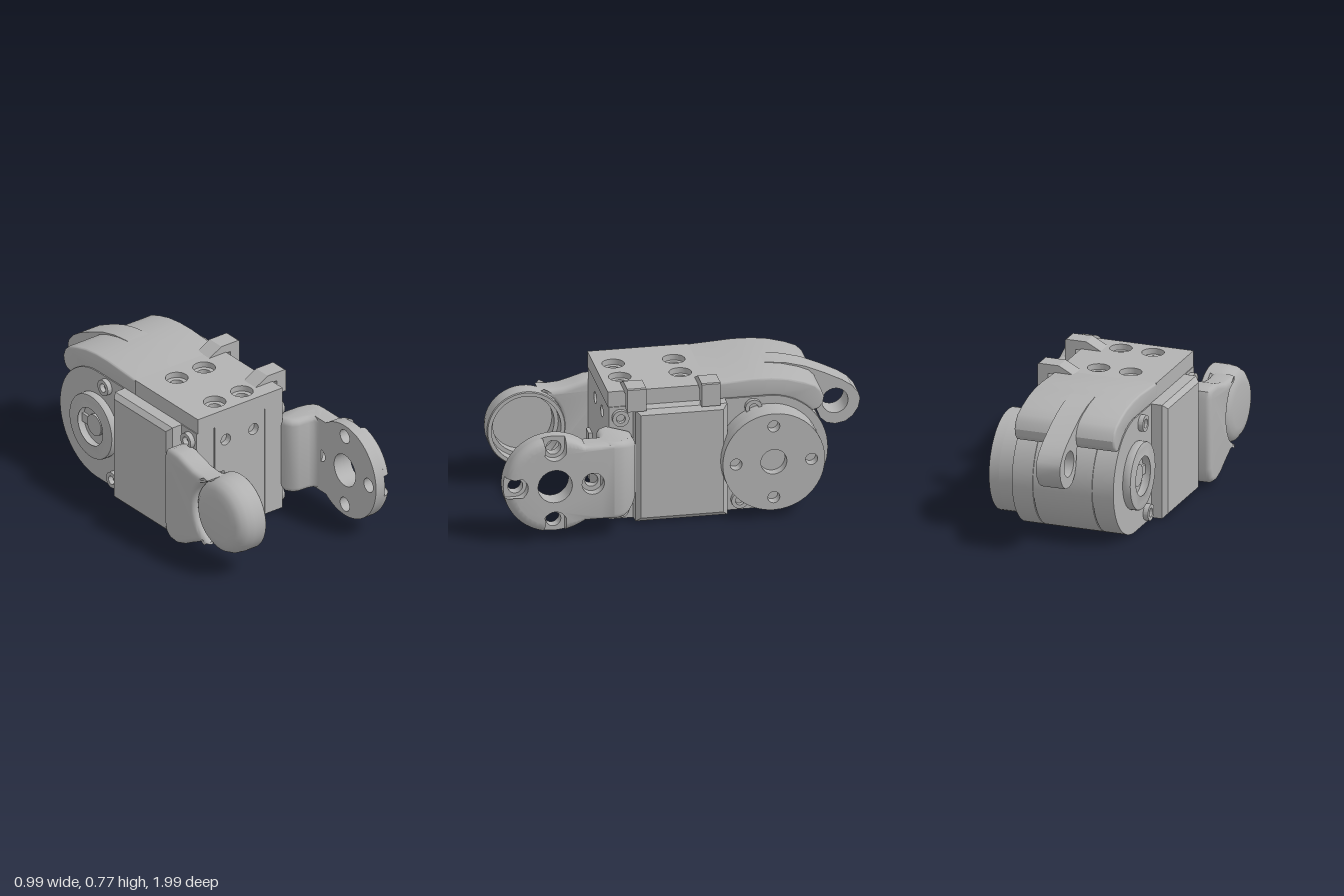
import * as THREE from 'three';
import { toCreasedNormals } from 'three/addons/utils/BufferGeometryUtils.js';

const grey = new THREE.MeshStandardMaterial({ color: 0xb2b2b2, side: THREE.DoubleSide });
grey.name = 'grey plastic';

const CX = -0.078;            // middle of the body
const HUB = [-0.464, 0.325];  // rear axle (z, y)
const ARM = [0.735, 0.327];   // front axle (z, y)

function poly(points, holes = []) {
  const shape = new THREE.Shape(points.map(([a, b]) => new THREE.Vector2(a, b)));
  for (const [a, b, r] of holes) shape.holes.push(new THREE.Path().absarc(a, b, r, 0, Math.PI * 2, true));
  return shape;
}
const arc = (a, b, r, from, to, n = 32) => Array.from({ length: n + 1 }, (_, i) => {
  const t = from + (to - from) * i / n;
  return [a + r * Math.cos(t), b + r * Math.sin(t)];
});
const circle = (a, b, r) => arc(a, b, r, 0, Math.PI * 2, 48).slice(0, -1);
const rect = (a0, b0, a1, b1) => [[a0, b0], [a1, b0], [a1, b1], [a0, b1]];

// Extrusion with an optional bevel that stays inside the outline
function extrude(shape, depth, bevel = 0, segments = 4, steps = 1) {
  const g = new THREE.ExtrudeGeometry(shape, {
    depth: depth - 2 * bevel, steps, curveSegments: 24, bevelEnabled: bevel > 0,
    bevelThickness: bevel, bevelSize: bevel, bevelOffset: -bevel, bevelSegments: segments,
  });
  return g.translate(0, 0, bevel);
}
// Outline in (z, y), extruded along x
function alongX(points, holes, x0, x1, bevel, segments, steps) {
  const shape = poly(points.map(([z, y]) => [-z, y]), holes.map(([z, y, r]) => [-z, y, r]));
  return extrude(shape, x1 - x0, bevel, segments, steps).rotateY(Math.PI / 2).translate(x0, 0, 0);
}
// Outline in (x, z), extruded along y
function alongY(points, holes, y0, y1, bevel) {
  const shape = poly(points.map(([x, z]) => [x, -z]), holes.map(([x, z, r]) => [x, -z, r]));
  return extrude(shape, y1 - y0, bevel).rotateX(-Math.PI / 2).translate(0, y0, 0);
}
const alongZ = (points, holes, z0, z1) => extrude(poly(points, holes), z1 - z0).translate(0, 0, z0);

// Move every vertex by a rule
function bend(g, rule) {
  const p = g.attributes.position, v = new THREE.Vector3();
  for (let i = 0; i < p.count; i++) {
    rule(v.fromBufferAttribute(p, i));
    p.setXYZ(i, v.x, v.y, v.z);
  }
  return g;
}

export function createModel() {
  const model = new THREE.Group();
  model.name = 'servoBracket';
  const add = (name, g, crease = 0.55) => {
    const mesh = new THREE.Mesh(toCreasedNormals(g, crease), grey);
    mesh.name = name;
    model.add(mesh);
  };

  // Body: three slabs with narrow seams and a round back
  const back = (r) => arc(HUB[0], HUB[1], r, Math.PI * 1.5, Math.PI * 0.5);
  const slabs = [[-0.365, -0.248], [-0.243, 0.088], [0.093, 0.21]];
  slabs.forEach(([x0, x1], i) => {
    const mid = i === 1;
    const front = mid ? [[0.36, 0.645], [0.36, 0.035], [-0.4, 0.035], [-0.4, 0.005]] : [[0.36, 0.645], [0.36, 0.005]];
    add('bodySlab', alongX([...front, ...back(0.319)], [], x0, x1));
    const screws = mid ? [-0.17, 0.015].flatMap((x) => [[x, 0.545, 0.032], [x, 0.105, 0.032]]) : [];
    add('frontPlate', alongZ(rect(x0, 0.005, x1, 0.645), screws, 0.36, 0.395));
    if (mid) add('bottomPlate', alongY(rect(x0, -0.4, x1, 0.36), [[0.015, 0.3, 0.028], [0.015, -0.03, 0.028]], 0.005, 0.035));
  });
  add('bodyCore', alongX([[0.35, 0.63], [0.35, 0.04], ...back(0.313)], [], -0.36, 0.205));

  // Chamfered side panels and the screw bosses around them, mirrored
  for (const s of [-1, 1]) {
    const span = (a, b) => [CX + s * a, CX + s * b].sort((p, q) => p - q);
    add('sidePanel', alongX(rect(-0.23, 0.008, 0.265, 0.645), [], ...span(0.24, 0.373), 0.025, 1), 0.3);
    for (const [z, y] of [[0.335, 0.585], [0.335, 0.065], [-0.38, 0.59], [-0.305, 0.065]]) {
      add('screwBoss', alongX(circle(z, y, 0.045), [[z, y, 0.024]], ...span(0.28, 0.315)));
    }
  }

  // Top plate with counterbored holes
  const topHoles = (r) => [-0.17, 0.012].flatMap((x) => [[x, -0.028, r], [x, 0.298, r]]);
  add('topPlateLower', alongY(rect(-0.36, -0.14, 0.205, 0.4), topHoles(0.035), 0.645, 0.7));
  add('topPlateUpper', alongY(rect(-0.36, -0.14, 0.205, 0.4), topHoles(0.06), 0.7, 0.732));

  // Curved rear cover
  add('rearCover', alongX([
    [-0.14, 0.64], [-0.14, 0.732], [-0.25, 0.738], [-0.38, 0.745], [-0.48, 0.742], [-0.57, 0.73], [-0.66, 0.705],
    [-0.72, 0.68], [-0.75, 0.65], [-0.765, 0.61], [-0.757, 0.57], [-0.735, 0.545], [-0.7, 0.535],
    ...arc(HUB[0], HUB[1], 0.316, Math.PI * 0.76, Math.PI * 0.5, 8),
  ], [], -0.362, 0.205, 0.012));

  // Rear eyelet
  add('rearEyelet', alongX([
    [-0.4, 0.74], [-0.5, 0.742], [-0.6, 0.73], [-0.7, 0.703], [-0.8, 0.66], [-0.9, 0.61],
    [-0.955, 0.572], [-0.99, 0.53], [-1.0, 0.495], [-0.99, 0.445], [-0.96, 0.4], [-0.92, 0.37], [-0.865, 0.36],
    [-0.82, 0.37], [-0.785, 0.4], [-0.765, 0.45], [-0.75, 0.54], [-0.7, 0.6], [-0.6, 0.66], [-0.4, 0.68],
  ], [[-0.865, 0.492, 0.07]], CX - 0.068, CX + 0.068));

  // Cable clips on the top edge
  for (const z of [0.21, -0.19]) {
    add('cableClip', alongZ([[0.09, 0.73], [0.235, 0.725], [0.24, 0.645], [0.295, 0.645], [0.295, 0.77],
      [0.288, 0.775], [0.175, 0.775]], [], z, z + 0.102), 0.3);
  }

  // Rear output disc on the left side
  const [hz, hy] = HUB;
  const ring = [0, 1, 2, 3].map((i) => [hz + 0.203 * Math.cos(i * Math.PI / 2), hy + 0.203 * Math.sin(i * Math.PI / 2), 0.032]);
  add('outputDiscBack', alongX(circle(hz, hy, 0.275), [[hz, hy, 0.035]], 0.212, 0.3));
  add('outputDiscFace', alongX(circle(hz, hy, 0.275), [...ring, [hz, hy, 0.07]], 0.3, 0.357));

  // Idler ring on the right side
  add('idlerRing', alongX(circle(hz, hy, 0.185), [[hz, hy, 0.115]], -0.41, -0.36, 0.008, 2));
  add('idlerBoss', alongX(circle(hz, hy, 0.06), [[hz, hy, 0.03]], -0.385, -0.36));
  add('idlerKey', new THREE.BoxGeometry(0.02, 0.05, 0.22).translate(-0.37, hy, hz));

  // Left arm: round plate with a neck, notched at the rim on its outer face
  const [az, ay] = ARM;
  const neck = [[az - 0.32, ay + 0.215], [az - 0.25, ay + 0.215], [az - 0.2, ay + 0.215]];
  const neckLow = neck.map(([z, y]) => [z, 2 * ay - y]).reverse();
  const start = 2.22;
  const plate = [...neck, ...arc(az, ay, 0.27, start, -start, 64), ...neckLow];
  const notch = (t) => {
    // U shaped notch open to the rim at angle t
    const cz = az + 0.205 * Math.cos(t), cy = ay + 0.205 * Math.sin(t);
    return arc(cz, cy, 0.06, t + Math.PI / 2, t + Math.PI * 1.5, 12);
  };
  const gap = 0.225, Q = Math.PI / 2;
  const notched = [...neck,
    ...arc(az, ay, 0.27, start, Q + gap, 10), ...notch(Q),
    ...arc(az, ay, 0.27, Q - gap, gap, 16), ...notch(0),
    ...arc(az, ay, 0.27, -gap, gap - Q, 16), ...notch(-Q),
    ...arc(az, ay, 0.27, -Q - gap, -start, 10), ...neckLow];
  const bores = [[0.205, 0], [0, 0.205], [0, -0.205]].map(([z, y]) => [az + z, ay + y, 0.04]);
  const centre = [az, ay, 0.092];
  add('leftArmPlate', alongX(plate, [centre, ...bores, [az - 0.205, ay, 0.035]], 0.361, 0.42));
  const roundRim = (v) => {
    const t = Math.min(1, Math.max(0, (v.x - 0.42) / 0.051));
    const sz = Math.min(az, Math.max(az - 0.32, v.z));
    const d = Math.hypot(v.z - sz, v.y - ay);
    if (d < 0.17) return;
    const k = (0.17 + (d - 0.17) * (1 - 0.5 * (1 - Math.sqrt(1 - t * t)))) / d;
    v.z = sz + (v.z - sz) * k;
    v.y = ay + (v.y - ay) * k;
  };
  add('leftArmFace', bend(alongX(notched, [centre, [az - 0.205, ay, 0.06]], 0.42, 0.471, 0, 1, 8), roundRim));

  // Left arm root, curving in to the body
  const root = alongY([[0.2, 0.268], [0.29, 0.268], [0.34, 0.28], [0.385, 0.3], [0.425, 0.325], [0.452, 0.355],
    [0.466, 0.39], [0.469, 0.44], [0.362, 0.53], [0.36, 0.505], [0.345, 0.485], [0.32, 0.478], [0.26, 0.475],
    [0.225, 0.46], [0.2, 0.42]], [], ay - 0.217, ay + 0.217, 0.03);
  add('leftArmRoot', bend(root, (v) => {
    const t = Math.max(0, (0.39 - v.z) / 0.17);
    v.y = ay + (v.y - ay) * Math.sqrt(1 - Math.min(0.9, t * t));
  }), 0.7);

  // Right arm: hollow cup opening inwards
  const cup = new THREE.LatheGeometry([[0, -0.5], [0.12, -0.5], [0.16, -0.493], [0.19, -0.472], [0.206, -0.44],
    [0.212, -0.4], [0.212, -0.33], [0.207, -0.325], [0.187, -0.325], [0.187, -0.4], [0.165, -0.4], [0.165, -0.465],
    [0, -0.465]].map(([r, y]) => new THREE.Vector2(r, y)), 56);
  add('rightArmCup', cup.rotateZ(-Math.PI / 2).translate(0, ay, az));

  // Right arm neck, flaring towards the body
  add('rightArmNeck', alongX([[0.66, 0.523], [0.6, 0.52], [0.53, 0.525], [0.46, 0.545], [0.4, 0.563], [0.33, 0.565],
    [0.295, 0.55], [0.28, 0.51], [0.28, 0.12], [0.295, 0.06], [0.33, 0.03], [0.39, 0.025], [0.45, 0.045],
    [0.52, 0.085], [0.59, 0.12], [0.66, 0.131],
    ...arc(az, ay, 0.2, Math.PI * 1.37, Math.PI * 0.63, 16)], [], -0.5, -0.365, 0.028), 0.7);

  // Small latch between the cup and the body front
  add('latch', new THREE.BoxGeometry(0.075, 0.068, 0.03).translate(-0.285, 0.275, 0.4));

  model.rotation.y = 0.026;
  const root3 = new THREE.Group();
  root3.name = 'bracketAssembly';
  root3.add(model);
  return root3;
}
